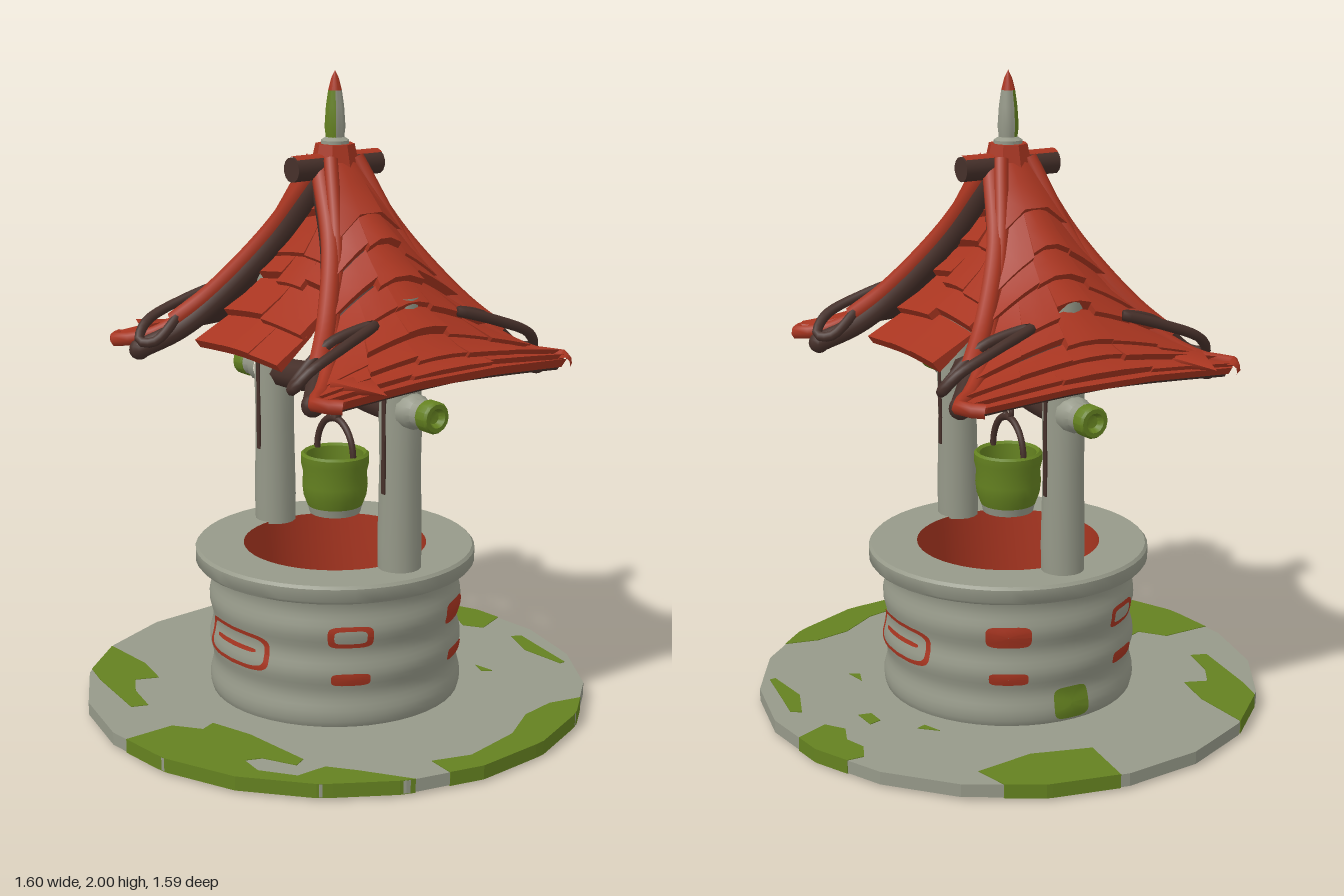
import * as THREE from 'three';
import { toCreasedNormals } from 'three/addons/utils/BufferGeometryUtils.js';

const V2 = (x, y) => new THREE.Vector2(x, y);
const V3 = (x, y, z) => new THREE.Vector3(x, y, z);
const rad = THREE.MathUtils.degToRad;

export function createModel() {
  const mat = (name, color) => { const m = new THREE.MeshStandardMaterial({ color }); m.name = name; return m; };
  const red = mat('brick red', 0xa83520), grey = mat('stone grey', 0x969989);
  const green = mat('moss green', 0x648120), brown = mat('dark wood', 0x46302a);
  const root = new THREE.Group();
  root.name = 'wishingWell';

  let seed = 7;
  const rand = () => { seed = (seed * 16807) % 2147483647; return seed / 2147483647; };
  const add = (name, geo, material, parent = root) => {
    const m = new THREE.Mesh(geo, material);
    m.name = name;
    parent.add(m);
    return m;
  };
  const lathe = (pts, seg = 40, start = 0, len = Math.PI * 2) =>
    toCreasedNormals(new THREE.LatheGeometry(pts.map(p => V2(...p)), seg, start, len), 0.7);
  const tube = (pts, r, closed = false, seg = 24) =>
    new THREE.TubeGeometry(new THREE.CatmullRomCurve3(pts.map(p => V3(...p)), closed), seg, r, 8, closed);
  const disc = (shape, top, depth) => new THREE.ExtrudeGeometry(shape, { depth, bevelEnabled: false, curveSegments: 24 })
    .rotateX(Math.PI / 2).translate(0, top, 0);

  // Ground slab: twenty-sided ring with moss patches
  const rimPoint = (deg, extra = 0) => {
    const local = (((deg + 85) % 18) + 18) % 18 - 9;
    const r = 0.8 * Math.cos(rad(9)) / Math.cos(rad(local)) + extra;
    return V2(r * Math.cos(rad(deg)), r * Math.sin(rad(deg)));
  };
  const slab = new THREE.Shape(Array.from({ length: 20 }, (_, i) => rimPoint(-85 + 18 * i)));
  slab.holes.push(new THREE.Path().absarc(0, 0, 0.36, 0, Math.PI * 2, true));
  add('groundSlab', disc(slab, 0.05, 0.04), grey);
  // each patch: rim start angle, rim end angle, inner outline as x, z
  const patches = [
    [-112, -96, [[-0.04, -0.68], [-0.1, -0.64], [-0.17, -0.67], [-0.24, -0.65], [-0.3, -0.68]]],
    [-40, 13, [[0.68, 0.17], [0.72, 0.05], [0.68, -0.15], [0.6, -0.28], [0.58, -0.4]]],
    [187, 212, [[-0.56, -0.44], [-0.54, -0.25], [-0.6, -0.07]]],
    [133, 148, [[-0.48, 0.42], [-0.35, 0.45], [-0.38, 0.52], [-0.3, 0.57], [-0.18, 0.6], [-0.2, 0.65], [-0.45, 0.61]]],
    [21, 90, [[0, 0.63], [0.08, 0.57], [0.06, 0.52], [0.2, 0.48], [0.44, 0.46], [0.46, 0.5], [0.36, 0.55], [0.34, 0.6],
      [0.42, 0.61], [0.52, 0.54], [0.52, 0.44], [0.6, 0.38]]],
    [0, 0, [[0.08, -0.7], [0.1, -0.73], [0.2, -0.71], [0.36, -0.68], [0.36, -0.66], [0.2, -0.65]]],
    [0, 0, [[-0.11, -0.56], [-0.03, -0.56], [-0.04, -0.52], [-0.1, -0.52]]],
    [0, 0, [[0.2, -0.43], [0.27, -0.44], [0.25, -0.41]]],
    [0, 0, [[-0.26, -0.4], [-0.21, -0.45], [-0.2, -0.42]]],
  ];
  patches.forEach(([a0, a1, inner]) => {
    const pts = inner.map(p => V2(...p));
    if (a1 > a0) for (let i = 20; i >= 0; i--) pts.unshift(rimPoint(a0 + (a1 - a0) * i / 20, 0.002));
    add('mossPatch', disc(new THREE.Shape(pts), 0.052, 0.044), green);
  });
  // mottled moss under the slab
  for (let k = 0; k < 10; k++) {
    const a = k * Math.PI / 5 + 0.2, c = 0.55 + 0.06 * (k % 2);
    const blob = Array.from({ length: 11 }, (_, i) => {
      const t = i * Math.PI * 2 / 11, r = 0.1 + 0.075 * rand();
      return V2(c * Math.cos(a) + r * Math.cos(t), c * Math.sin(a) + r * Math.sin(t));
    });
    add('undersideMoss', disc(new THREE.Shape(blob), 0.011, 0.004), green);
  }

  // Well wall with soft stone courses, a splayed foot, a rim and a red lining
  const wallR = y => 0.395 + 0.006 * Math.sin((y - 0.05) * Math.PI * 2 / 0.135);
  const wall = [[0.29, 0.06], [0.365, 0], [0.375, 0], [0.38, 0.03]];
  for (let i = 0; i <= 24; i++) { const y = 0.05 + i * 0.41 / 24; wall.push([wallR(y), y]); }
  add('wellWall', lathe(wall, 48), grey);
  add('footMoss', lathe([[0.287, 0.06], [0.318, 0.035]], 16, -1.6, 1.6), green);
  add('wellRim', lathe([[0.38, 0.455], [0.435, 0.46], [0.443, 0.47], [0.443, 0.508], [0.435, 0.517], [0.29, 0.517]], 48), grey);
  add('wellLining', lathe([[0.29, 0.517], [0.285, 0.25], [0.29, 0.06]], 48), red);

  // Painted bricks and moss, wrapped on the wall
  const wallPatch = (name, deg, y, w, h, inner, material) => {
    const g = new THREE.RingGeometry(inner, 1, 40, 3), p = g.attributes.position;
    const square = v => Math.sign(v) * Math.pow(Math.abs(v), 0.45);
    for (let i = 0; i < p.count; i++) {
      const x = p.getX(i), yy = p.getY(i), l = Math.hypot(x, yy);
      const a = rad(deg) + square(x / l) * (w - (1 - l) * Math.min(w, h * 1.4)) / 0.4 * (inner < 0.1 ? l : 1);
      const py = y + square(yy / l) * h * l;
      const r = wallR(py) + 0.005;
      p.setXYZ(i, Math.sin(a) * r, py, Math.cos(a) * r);
    }
    g.computeVertexNormals();
    add(name, g, material);
  };
  for (const a of [0, 180]) {
    wallPatch('paintedBrick', a, 0.262, 0.153, 0.058, 0.77, red);
    wallPatch('brickLine', a, 0.265, 0.1, 0.007, 0.02, red);
  }
  for (const a of [59, -59, 121, -121]) {
    wallPatch('paintedBrick', a, 0.34, 0.07, 0.035, Math.abs(a) < 90 ? 0.6 : 0.03, red);
    wallPatch('lowerBrick', a, 0.205, 0.06, 0.02, 0.03, red);
  }
  wallPatch('wallMoss', -92, 0.11, 0.06, 0.05, 0.03, green);

  // Posts with axle pegs
  for (const s of [-1, 1]) {
    const post = new THREE.Group();
    post.name = 'post';
    post.position.x = s * 0.32;
    root.add(post);
    add('postShaft', lathe([[0.066, 0.51], [0.068, 0.6], [0.063, 0.85], [0.066, 1.0], [0.058, 1.15], [0.053, 1.36]], 16), grey, post);
    for (const z of [1, -1]) add('woodGrain', new THREE.BoxGeometry(0.016, 0.3, 0.008), brown, post).position.set(0, 0.91, z * 0.063);
    const peg = new THREE.Group();
    peg.name = 'axlePeg';
    peg.position.set(s * 0.04, 1.02, 0);
    peg.rotation.z = -s * Math.PI / 2;
    post.add(peg);
    add('pegCollar', lathe([[0.056, 0], [0.054, 0.035], [0.044, 0.05], [0.044, 0.085]], 14), grey, peg);
    add('pegEnd', lathe([[0.044, 0.078], [0.049, 0.085], [0.049, 0.122], [0.043, 0.13], [0.03, 0.13], [0.02, 0.112], [0, 0.108]], 14), green, peg);
  }

  // Winding beam, rope and hook
  add('windingBeam', tube([[-0.29, 1.015, 0], [-0.2, 1.02, 0], [0, 1.04, 0], [0.2, 1.02, 0], [0.29, 1.015, 0]], 0.05), brown);
  add('ropeCoil', new THREE.TorusGeometry(0.056, 0.012, 8, 24).rotateY(Math.PI / 2), brown).position.y = 1.04;
  add('rope', new THREE.CylinderGeometry(0.008, 0.008, 0.05, 8), brown).position.y = 0.975;
  add('hook', new THREE.TorusGeometry(0.02, 0.009, 8, 16), brown).position.y = 0.938;

  // Bucket
  add('bucketBase', lathe([[0, 0.615], [0.08, 0.615], [0.087, 0.642]], 24), grey);
  add('bucket', lathe([[0.087, 0.64], [0.1, 0.675], [0.104, 0.71], [0.101, 0.75], [0.108, 0.78], [0.108, 0.805], [0.1, 0.812], [0.09, 0.805], [0.085, 0.67], [0, 0.665]], 24), green);
  add('bucketHandle', new THREE.TorusGeometry(0.092, 0.01, 8, 24, Math.PI).scale(1, 1.25, 1), brown).position.y = 0.805;

  // Roof faces slope out along +x; stations are [run, height, half width, edge drop]
  const sideStations = [[0.04, 1.755, 0.05, 0.02], [0.17, 1.575, 0.13, 0.09], [0.27, 1.445, 0.22, 0.12], [0.36, 1.335, 0.3, 0.11],
    [0.45, 1.235, 0.4, 0.08], [0.52, 1.18, 0.475, 0.04], [0.575, 1.155, 0.42, 0.02]];
  const gableStations = [[0.02, 1.65, 0.04, 0.01], [0.05, 1.54, 0.1, 0.02], [0.11, 1.42, 0.17, 0.02], [0.21, 1.3, 0.195, 0.02], [0.365, 1.175, 0.21, 0.01]];
  const surface = (st, u, v, lift) => {
    const f = THREE.MathUtils.clamp(u, 0, 1) * (st.length - 1), i = Math.min(Math.floor(f), st.length - 2);
    const [x, y, w, d] = st[i].map((a, k) => a + (st[i + 1][k] - a) * (f - i));
    return V3(x + lift * 0.6, y - d * Math.pow(Math.abs(v), 1.4) + lift * 0.8, v * w);
  };
  // bends a box onto the roof; the low end rises so rows overlap like shingles
  const sheet = (st, u0, u1, v0, v1, bottom, topHigh, topLow, nu, nv) => {
    const g = new THREE.BoxGeometry(1, 1, 1, nu, 1, nv), p = g.attributes.position;
    for (let i = 0; i < p.count; i++) {
      const a = p.getX(i) + 0.5, c = p.getZ(i) + 0.5;
      const lift = p.getY(i) < 0 ? bottom : topHigh + (topLow - topHigh) * a;
      const q = surface(st, u0 + (u1 - u0) * a, v0 + (v1 - v0) * c, lift);
      p.setXYZ(i, q.x, q.y, q.z);
    }
    return toCreasedNormals(g, 0.5);
  };
  const roofFace = (name, st, counts, angle) => {
    const face = new THREE.Group(), rows = counts.length;
    face.name = name;
    face.rotation.y = angle;
    root.add(face);
    counts.forEach((n, r) => {
      for (let k = 0; k < n; k++) {
        const end = r === rows - 1 ? 1 : (r + 1.15 + (rand() - 0.5) * 0.5) / rows;
        add('shingle', sheet(st, r / rows, end, -1 + 2 * k / n, -1 + 2 * (k + 1) / n, -0.006, 0.004, 0.022 + rand() * 0.012, 2, 3), red, face);
      }
    });
    return face;
  };
  for (const s of [0, 1]) {
    const side = roofFace('sideRoof', sideStations, [1, 3, 3, 5, 5, 5, 3, 1], s * Math.PI);
    add('roofBoards', sheet(sideStations, 0.02, 0.98, -0.98, 0.98, -0.022, -0.007, -0.007, 12, 10), brown, side);
    for (const z of [-1, 1]) {
      // rafter log under a red barge trim, with a rope tie
      const log = [[0, 1.675, z * 0.055], [0.14, 1.475, z * 0.125], [0.28, 1.28, z * 0.25], [0.36, 1.185, z * 0.34], [0.45, 1.12, z * 0.43]];
      const edge = sideStations.map((_, i) => { const q = surface(sideStations, i / 6, z, 0.005); return [q.x, q.y, q.z]; });
      add('edgeTrim', tube(edge, 0.022), red, side);
      add('bargeTrim', tube(log.slice(0, 4).map(([x, y, w]) => [x + 0.012, y + 0.028, w + z * 0.01]), 0.03), red, side);
      add('rafterLog', tube(log, 0.032), brown, side);
      add('logEndCap', new THREE.SphereGeometry(0.034, 10, 8), brown, side).position.set(...log[4]);
      add('ropeTie', tube([[0.36, 1.16, z * 0.43], [0.4, 1.16, z * 0.46], [0.425, 1.21, z * 0.42], [0.42, 1.265, z * 0.29],
        [0.39, 1.305, z * 0.16], [0.36, 1.265, z * 0.3]], 0.016, true, 36), brown, side);
    }
    // loose pointed tile at the front eave
    const tip = add('looseTile', new THREE.ConeGeometry(0.095, 0.17, 4).rotateY(Math.PI / 4).scale(1, 1, 0.28)
      .rotateX(Math.PI / 2).rotateY(Math.PI / 2), red, side);
    tip.position.set(0.56, 1.17, s ? -0.32 : 0.32);
    roofFace('gableRoof', gableStations, [1, 2, 3, 2, 3], Math.PI * (s + 0.5));
  }

  // Ridge log with a painted top, roof cap and finial
  add('ridgeLog', new THREE.CylinderGeometry(0.038, 0.038, 0.33, 14).rotateX(Math.PI / 2), brown).position.y = 1.712;
  add('ridgePaint', new THREE.CylinderGeometry(0.041, 0.041, 0.325, 8, 1, true, Math.PI - 0.7, 1.4).rotateX(Math.PI / 2), red).position.y = 1.712;
  add('roofCap', toCreasedNormals(new THREE.CylinderGeometry(0.06, 0.08, 0.09, 8), 0.3), red).position.y = 1.735;
  add('finialCollar', lathe([[0.03, 1.765], [0.044, 1.775], [0.044, 1.79], [0.028, 1.8]], 14), grey);
  const spire = [[0.027, 1.79], [0.032, 1.83], [0.028, 1.89], [0.021, 1.94]];
  add('finialMoss', lathe(spire, 8, -1.4, 2.4), green);
  add('finialStone', lathe(spire, 12, 1.0, Math.PI * 2 - 2.4), grey);
  add('finialTip', lathe([[0.021, 1.94], [0.012, 1.975], [0, 2]], 14), red);
  return root;
}
